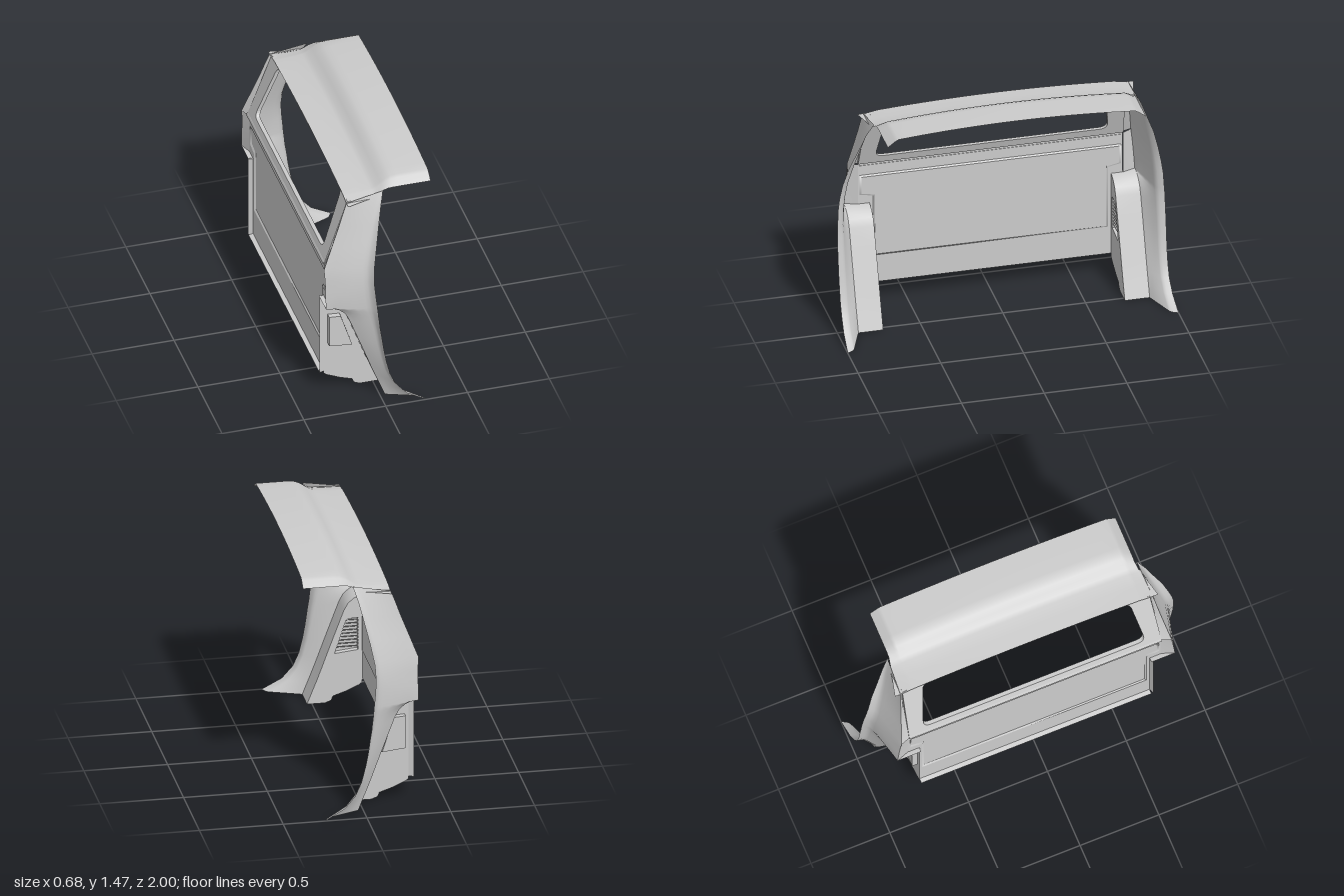
import * as THREE from 'three';

const mat = new THREE.MeshStandardMaterial({ color: 0xcccccc, side: THREE.DoubleSide });

function add(parent, name, geometry) {
  const mesh = new THREE.Mesh(geometry, mat);
  mesh.name = name;
  parent.add(mesh);
  return mesh;
}

// Smooth skin through rows of [x, y, z] points
function skin(rows) {
  const n = rows[0].length, index = [];
  for (let i = 0; i < rows.length - 1; i++)
    for (let j = 0; j < n - 1; j++) {
      const a = i * n + j, b = a + n;
      index.push(a, b, a + 1, b, b + 1, a + 1);
    }
  const g = new THREE.BufferGeometry();
  g.setAttribute('position', new THREE.Float32BufferAttribute(rows.flat(2), 3));
  g.setIndex(index);
  g.computeVertexNormals();
  return g;
}

const shapeOf = pts => new THREE.Shape(pts.map(p => new THREE.Vector2(...p)));

// Mirror a half outline of [z, y] points, listed bottom to top
const mirrorOutline = half => [...half, ...half.map(([z, y]) => [-z, y]).reverse()];

// Turn a geometry drawn in (z, y) to stand across the body, with x from a rule of height
function standAcross(g, xAt) {
  const p = g.attributes.position;
  for (let i = 0; i < p.count; i++) {
    const a = p.getX(i), y = p.getY(i), d = p.getZ(i);
    p.setXYZ(i, xAt(y) + d, y, -a);
  }
  g.computeVertexNormals();
  return g;
}

function roundedPath(pts, r) {
  const path = new THREE.Path(), v = pts.map(p => new THREE.Vector2(...p));
  v.forEach((c, i) => {
    const toward = q => c.clone().add(q.clone().sub(c).setLength(r));
    const a = toward(v[(i + v.length - 1) % v.length]), b = toward(v[(i + 1) % v.length]);
    i ? path.lineTo(a.x, a.y) : path.moveTo(a.x, a.y);
    path.quadraticCurveTo(c.x, c.y, b.x, b.y);
  });
  path.closePath();
  return path;
}

// Roof: stepped profile along x, crowned across z with turned-down sides
function roofGeometry() {
  // x, crown height, side edge height, half width at edge
  const profile = [
    [-0.18, 1.383, 1.345, 0.8], [-0.09, 1.388, 1.347, 0.795], [-0.01, 1.395, 1.352, 0.79],
    [0.02, 1.405, 1.365, 0.785], [0.05, 1.43, 1.384, 0.78], [0.08, 1.453, 1.393, 0.78],
    [0.11, 1.465, 1.395, 0.78], [0.15, 1.47, 1.395, 0.78], [0.34, 1.47, 1.395, 0.78]];
  return skin(profile.map(([x, top, edge, w]) => {
    const half = [];
    const drop = Math.min(0.03, (top - edge) * 0.6);
    for (let i = 0; i <= 10; i++) {
      const t = i / 10;
      half.push([x, top - drop * t * t, 0.715 * t]);
    }
    half.push([x, (top - drop) * 0.75 + edge * 0.25, 0.735], [x, edge, w]);
    return [...half.slice(1).reverse().map(([a, b, c]) => [a, b, -c]), ...half];
  }));
}

// Curve where the side pillar meets the wheel housing
const arch = [[-0.33, 0.675], [-0.29, 0.672], [-0.25, 0.655], [-0.215, 0.625], [-0.19, 0.58],
  [-0.145, 0.46], [-0.1, 0.34], [-0.06, 0.23], [-0.03, 0.15], [0.0, 0.075], [0.03, 0]];

// Upper pillar: back edge x, y, z then front edge x, y, z
const upperPillar = [
  [-0.18, 1.35, 0.8, 0.045, 1.39, 0.79],
  [-0.2, 1.3, 0.808, 0.018, 1.3, 0.835],
  [-0.235, 1.2, 0.82, -0.005, 1.2, 0.872],
  [-0.285, 1.07, 0.838, -0.034, 1.07, 0.922],
  [-0.335, 0.94, 0.857, -0.056, 0.95, 0.954],
  [-0.33, 0.86, 0.865, -0.06, 0.86, 0.972],
  [-0.33, 0.77, 0.873, -0.054, 0.78, 0.983]];

// Side pillar with a turned-out lip along its front edge
function pillarGeometry() {
  const front = [[-0.043, 0.675, 0.988], [-0.04, 0.64, 0.99], [-0.035, 0.6, 0.99], [-0.03, 0.55, 0.991],
    [-0.022, 0.5, 0.991], [-0.008, 0.4, 0.991], [0.008, 0.31, 0.99], [0.03, 0.22, 0.99],
    [0.065, 0.14, 0.99], [0.13, 0.065, 0.994], [0.25, 0, 1]];
  const lower = arch.map(([x, y], i) => [x, y, 0.88, ...front[i]]);
  return skin([...upperPillar, ...lower].map(([x0, y0, z0, x1, y1, z1]) => {
    const lip = Math.max(0, Math.min(0.035, (z1 - z0) * 0.4));
    return [0, 0.2, 0.4, 0.6, 0.8, 0.88, 0.93, 0.97, 1].map(t => [
      x0 + (x1 - x0) * t,
      y0 + (y1 - y0) * t,
      z0 + (z1 - lip - z0) * t + lip * Math.max(0, (t - 0.85) / 0.15) ** 2]);
  }));
}

// One body side, built at +z
function buildSide() {
  const side = new THREE.Group();
  add(side, 'sidePillar', pillarGeometry());

  // Corner post joining the pillar's back edge to the recessed rear wall
  add(side, 'windowCorner', skin(upperPillar.slice(0, 5).map(([x, y, z], i) => [
    [x, y, z], [x + 0.004, y, z - 0.012], [x + 0.02, y, 0.785 + i * 0.004]])));
  add(side, 'lowerCorner', skin([...upperPillar.slice(4), [-0.33, 0.675, 0.88]].map(([x, y, z]) => [
    [x, y, z], [-0.325, y, z - 0.012], [-0.3, y, 0.8]])));

  // Wheel housing: arched cover and inner wall with a vent opening
  add(side, 'housingCover', skin(arch.map(([x, y]) => [[x, y, 0.73], [x, y, 0.88]])));
  const wall = shapeOf([[-0.3, 0.674], ...arch.slice(1), [-0.08, 0], [-0.115, 0.015], [-0.125, 0.04],
    [-0.2, 0.065], [-0.28, 0.1], [-0.3, 0.115]]);
  const vent = [[-0.275, 0.53], [-0.205, 0.525], [-0.135, 0.31], [-0.275, 0.325]];
  wall.holes.push(new THREE.Path(vent.map(p => new THREE.Vector2(...p))));
  add(side, 'housingWall', new THREE.ShapeGeometry(wall)).position.z = 0.73;
  add(side, 'housingFlange', skin([0.13, 0.675].map(y => [[-0.3, y, 0.73], [-0.33, y, 0.742]])));

  // Vent: recessed tray with slats
  vent.forEach(([x, y], i) => {
    const [u, v] = vent[(i + 1) % 4];
    add(side, 'ventRim', skin([[[x, y, 0.73], [u, v, 0.73]], [[x, y, 0.765], [u, v, 0.765]]]));
  });
  add(side, 'ventBack', new THREE.ShapeGeometry(shapeOf(vent))).position.z = 0.765;
  for (let i = 0; i < 9; i++) {
    const y = 0.345 + i * 0.021;
    const right = -0.135 - (y - 0.31) * 0.326;
    const slat = add(side, 'ventSlat', new THREE.BoxGeometry(right + 0.275, 0.005, 0.025));
    slat.position.set((right - 0.275) / 2, y, 0.747);
    slat.rotation.x = 0.5;
  }

  // Drip tab at the roof corner
  add(side, 'dripTab', skin([
    [[-0.18, 1.348, 0.795], [-0.18, 1.345, 0.835]],
    [[-0.08, 1.352, 0.79], [-0.08, 1.35, 0.81]],
    [[0.0, 1.356, 0.785], [0.0, 1.355, 0.795]]]));
  return side;
}

function buildRear() {
  const rear = new THREE.Group();
  rear.name = 'rearWall';

  // Slanted window frame with a crowned top
  const half = [[0.801, 0.945], [0.785, 1.35]];
  for (let i = 0; i < 6; i++) {
    const z = 0.72 * (1 - i / 6);
    half.push([z, 1.381 - 0.023 * (z / 0.72) ** 2]);
  }
  const frame = shapeOf(mirrorOutline(half));
  frame.holes.push(roundedPath([[0.705, 0.995], [0.655, 1.355], [-0.655, 1.355], [-0.705, 0.995]], 0.05));
  const slant = y => -0.32 + (y - 0.94) * 0.36;
  add(rear, 'windowFrame', standAcross(
    new THREE.ExtrudeGeometry(frame, { depth: 0.025, bevelEnabled: false, curveSegments: 6 }), slant));

  // Rounded ridge below the window
  add(rear, 'windowLedge', skin([[-0.3, 0.93], [-0.318, 0.936], [-0.325, 0.948], [-0.315, 0.962]]
    .map(([x, y]) => [[x, y, -0.8], [x, y, 0.8]])));

  // Lower wall: rim, sloped border and recessed centre
  const bead = mirrorOutline([[0.71, 0.32], [0.71, 0.72], [0.79, 0.735], [0.79, 0.865]]);
  const inner = mirrorOutline([[0.7, 0.33], [0.7, 0.73], [0.78, 0.745], [0.78, 0.855]]);
  const rim = shapeOf(mirrorOutline([[0.73, 0.14], [0.73, 0.675], [0.8, 0.675], [0.8, 0.955]]));
  rim.holes.push(new THREE.Path(bead.map(p => new THREE.Vector2(...p))));
  add(rear, 'lowerWallRim', standAcross(new THREE.ShapeGeometry(rim), () => -0.302));
  add(rear, 'lowerWallCentre', standAcross(new THREE.ShapeGeometry(shapeOf(inner)), () => -0.294));
  const ring = (pts, x) => [...pts, pts[0]].map(([z, y]) => [x, y, z]);
  add(rear, 'lowerWallBorder', skin([ring(bead, -0.302), ring(inner, -0.294)]));

  // Bottom lip turned rearward
  add(rear, 'bottomLip', skin([[-0.302, 0.14], [-0.33, 0.135]].map(([x, y]) => [[x, y, -0.73], [x, y, 0.73]])));
  return rear;
}

export function createModel() {
  const model = new THREE.Group();
  model.name = 'cabRear';
  add(model, 'roof', roofGeometry());
  model.add(buildRear());
  for (const s of [1, -1]) {
    const side = buildSide();
    side.name = s > 0 ? 'frontFacingSide' : 'backFacingSide';
    side.scale.z = s;
    model.add(side);
  }
  return model;
}
